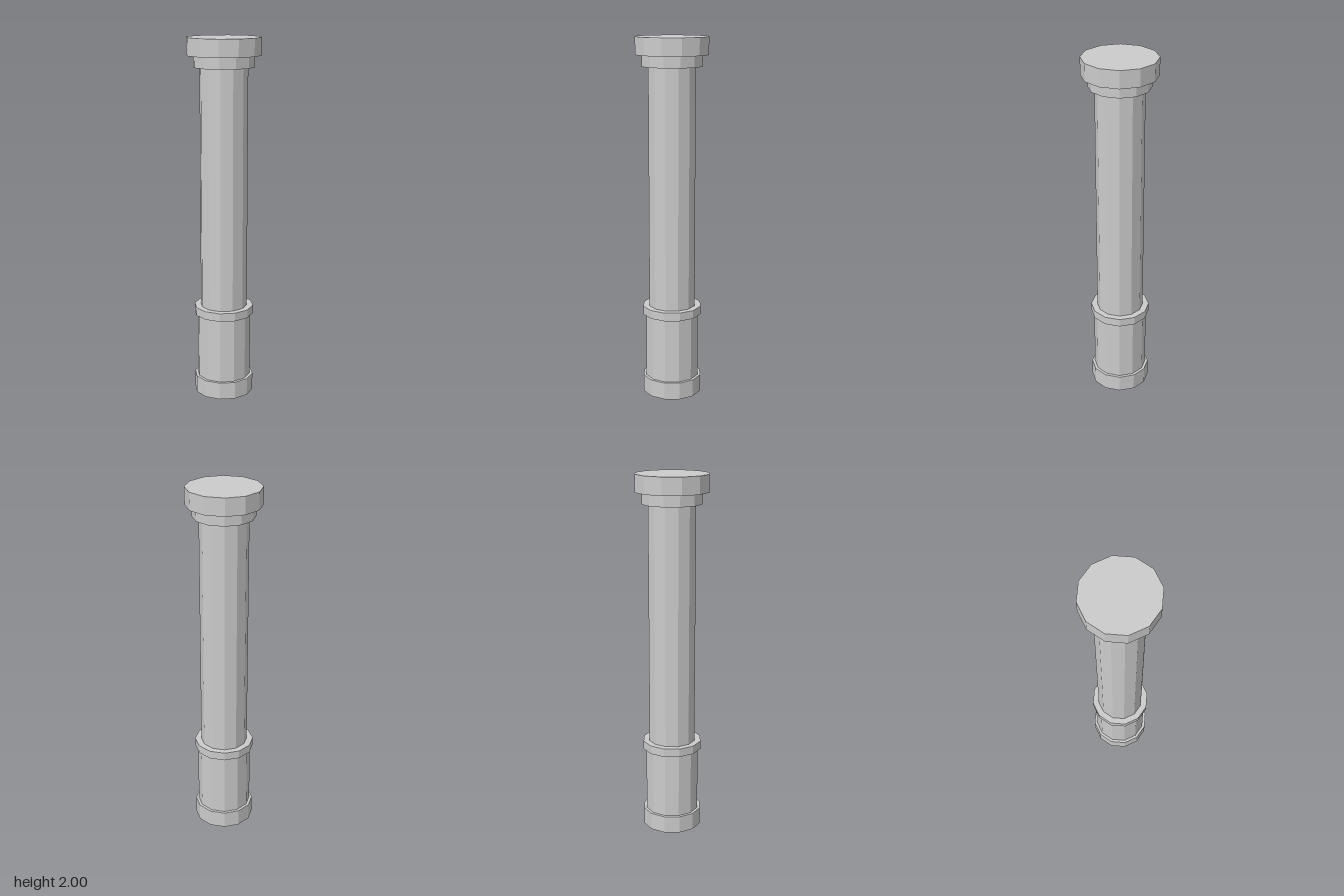
import * as THREE from 'three';

const SIDES = 12;

// name, radius, bottom y, top y
const DRUMS = [
  ['base', 0.166, 0, 0.098],
  ['pedestal', 0.15, 0.098, 0.465],
  ['collar', 0.166, 0.465, 0.512],
  ['shaft', 0.131, 0.512, 1.843],
  ['neck', 0.166, 1.843, 1.905],
  ['capital', 0.202, 1.905, 2],
];

export function createModel() {
  const column = new THREE.Group();
  column.name = 'column';
  const stone = new THREE.MeshStandardMaterial({ color: 0xcccccc, flatShading: true });

  // Twelve-sided drums stacked from the ground up
  for (const [name, radius, bottom, top] of DRUMS) {
    const drum = new THREE.Mesh(
      new THREE.CylinderGeometry(radius, radius, top - bottom, SIDES),
      stone
    );
    drum.name = name;
    drum.position.y = (bottom + top) / 2;
    column.add(drum);
  }
  return column;
}
